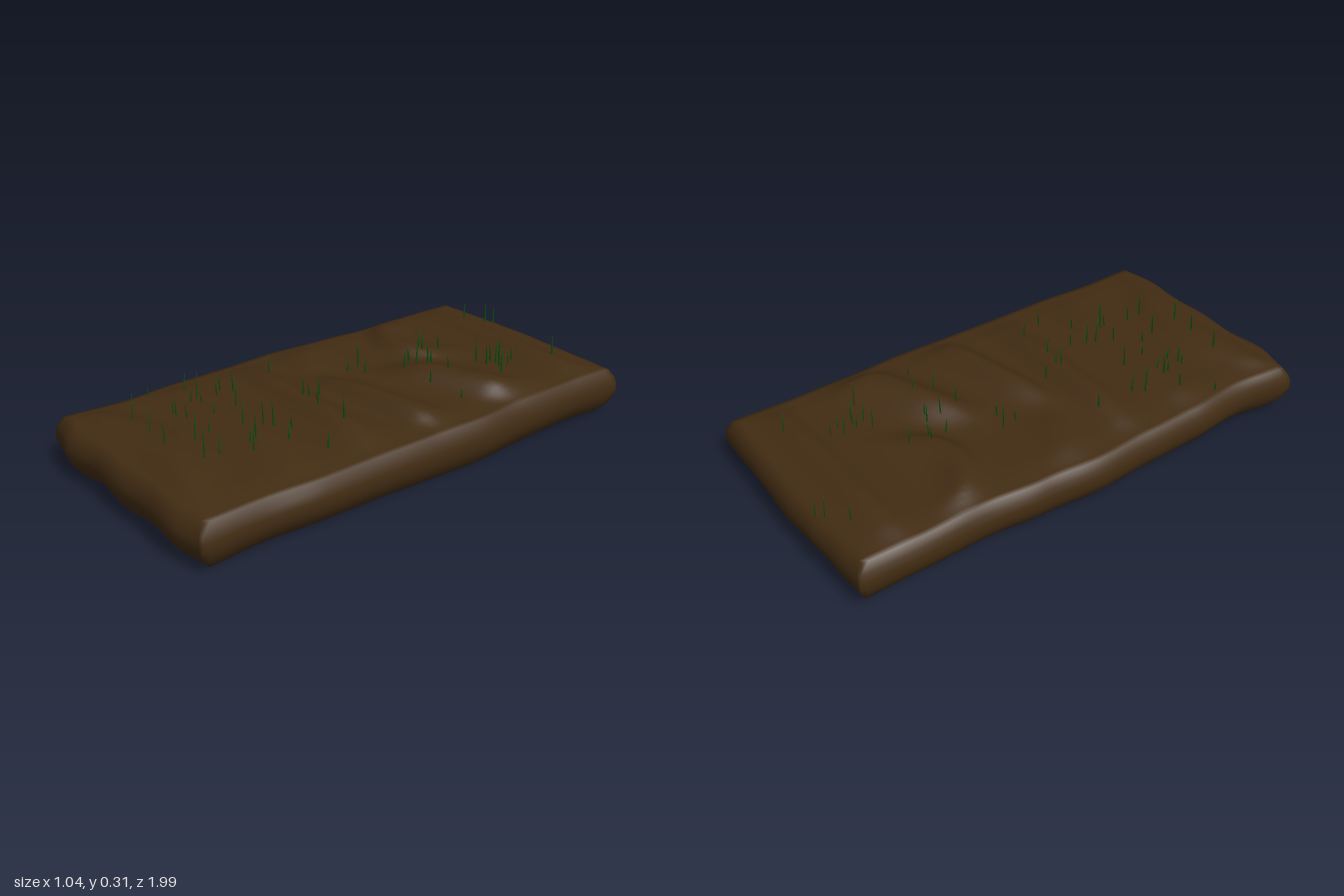
import * as THREE from 'three';
import { mergeVertices, mergeGeometries } from 'three/addons/utils/BufferGeometryUtils.js';

const { smoothstep, clamp, lerp } = THREE.MathUtils;

// Ridges across the bed: x, z, half length, height, slant, bend, back width, front width
const RIDGES = [
  [-0.05, 0.78, 0.40, 0.028, 0.00, 0.75, 0.08, 0.10],
  [-0.05, 0.48, 0.42, 0.024, 0.00, 0.10, 0.09, 0.08],
  [0.00, 0.20, 0.38, 0.043, 0.00, 0.00, 0.07, 0.065],
  [0.16, -0.02, 0.28, 0.048, -0.22, 0.00, 0.09, 0.05],
  [-0.35, -0.06, 0.17, 0.018, 0.30, 0.00, 0.09, 0.08],
  [0.22, -0.37, 0.24, 0.060, -0.42, 0.00, 0.13, 0.08],
  [-0.22, -0.42, 0.22, 0.040, 0.10, -2.20, 0.10, 0.045],
  [0.00, -0.60, 0.35, 0.010, 0.00, 0.00, 0.05, 0.06],
  [0.00, -0.80, 0.42, 0.030, -0.03, 0.00, 0.07, 0.05],
];

// Height of the soil surface at a point
function soilHeight(x, z) {
  let y = 0.192;
  for (const [rx, rz, len, h, slant, bend, back, front] of RIDGES) {
    const dx = x - rx;
    const dz = z - (rz + slant * dx + bend * dx * dx);
    const w = dz < 0 ? back : front;
    y += h * Math.exp(-((dx / len) ** 4) - (dz / w) ** 2);
  }
  const edge = Math.min(0.5 - Math.abs(x), 0.98 - Math.abs(z));
  return lerp(0.183, y, smoothstep(edge, 0, 0.14));
}

// Piecewise curve through evenly spaced values, t from 0 to 1
function sample(values, t) {
  const f = clamp(t, 0, 1) * (values.length - 1);
  const i = Math.min(Math.floor(f), values.length - 2);
  return lerp(values[i], values[i + 1], smoothstep(f - i, 0, 1));
}

// Wavy outline of the bed, from back to front and from left of frame to right
const EDGE_LOW_X = [0.485, 0.49, 0.485, 0.505, 0.522, 0.51, 0.505, 0.485, 0.505];
const EDGE_HIGH_X = [0.505, 0.50, 0.503, 0.517, 0.512, 0.51, 0.512, 0.50, 0.505];
const EDGE_FRONT = [0.96, 0.995, 0.975, 0.985, 0.975, 0.985, 0.96];
const EDGE_BACK = [0.975, 0.985, 0.995, 1.0, 0.995, 0.99, 0.985];
// Rounded side profile (how far it draws in) from bottom to top
const INSET = [0.045, 0.022, 0.008, 0, 0.002, 0.010, 0.028];

function makeSoil() {
  const box = new THREE.BoxGeometry(2, 1, 2, 44, 6, 88);
  box.deleteAttribute('normal');
  box.deleteAttribute('uv');
  const geo = mergeVertices(box, 1e-4);
  const p = geo.attributes.position;
  for (let i = 0; i < p.count; i++) {
    const u = p.getX(i), t = p.getY(i) + 0.5, v = p.getZ(i);
    const inset = sample(INSET, t);
    const x = u * (sample(u < 0 ? EDGE_LOW_X : EDGE_HIGH_X, (v + 1) / 2) - inset);
    const z = v * (sample(v < 0 ? EDGE_BACK : EDGE_FRONT, (u + 1) / 2) - inset);
    const bottom = 0.021 + 0.007 * Math.cos(u * 7.5 + 3) - 0.014 * smoothstep(u, 0.7, 1) * Math.exp(-(((z + 0.2) / 0.4) ** 2))
      - 0.008 * smoothstep(Math.abs(u), 0.8, 1) * smoothstep(Math.abs(v), 0.8, 1);
    const top = t > 0.999 ? soilHeight(x, z) : 0.183;
    p.setXYZ(i, x, lerp(bottom, top, t), z);
  }
  geo.computeVertexNormals();
  const soil = new THREE.Mesh(geo, new THREE.MeshStandardMaterial({ color: 0x422c13 }));
  soil.name = 'soilBed';
  return soil;
}

// Blade positions as x, z pairs in hundredths
const BLADES = [
  -27, -88, -20, -94, -17, -96, 27, -85, 18, -71, 15, -67, 20, -67, 15, -62, 18, -62, 21, -61,
  12, -57, 17, -58, 27, -56, -5, -52, -9, -45, -7, -45, -6, -37, 2, -40, 2, -34, 5, -39,
  4, -26, 18, -36, 33, -29, 18, -27, -15, -18, -14, -12, -8, -16, -28, 16, 0, 20, 2, 19,
  10, 21, 24, 20, -1, 12, -26, 34, -29, 38, 13, 35, 33, 34, -25, 42, -12, 42, -26, 50,
  -35, 50, -21, 51, -25, 53, -11, 52, 3, 49, 7, 43, 9, 40, 14, 51, 15, 54, 21, 42,
  -43, 61, -23, 62, -21, 62, -17, 60, -2, 60, 0, 67, 14, 66, 0, 79, -10, 79, -24, 78,
  14, 72, 20, 56,
];

// One thin, pointed blade that leans over towards its tip
function makeBlade(x, z, height, lean) {
  const geo = new THREE.PlaneGeometry(1, 1, 2, 5);
  const p = geo.attributes.position;
  for (let i = 0; i < p.count; i++) {
    const t = p.getY(i) + 0.5;
    const width = 0.011 * (1 - t ** 2.5);
    p.setXYZ(i, p.getX(i) * width + 0.3 * lean * t * t, t * height, lean * t * t - 0.003 * Math.abs(p.getX(i)));
  }
  geo.translate(x, soilHeight(x, z) - 0.006, z);
  geo.computeVertexNormals();
  return geo;
}

function makeGrass() {
  let seed = 7;
  const rand = () => (seed = (seed * 16807) % 2147483647) / 2147483647;
  for (let i = 0; i < 5; i++) rand();
  const blades = [];
  for (let i = 0; i < BLADES.length; i += 2) {
    const x = BLADES[i] / 100, z = BLADES[i + 1] / 100;
    const height = Math.min(0.045 + 0.075 * rand(), 0.32 - soilHeight(x, z));
    blades.push(makeBlade(x, z, height, (rand() - 0.5) * 0.02));
  }
  const grass = new THREE.Mesh(mergeGeometries(blades),
    new THREE.MeshStandardMaterial({ color: 0x17601a, side: THREE.DoubleSide }));
  grass.name = 'grassBlades';
  return grass;
}

export function createModel() {
  const group = new THREE.Group();
  group.name = 'soilPatch';
  group.add(makeSoil(), makeGrass());
  return group;
}
